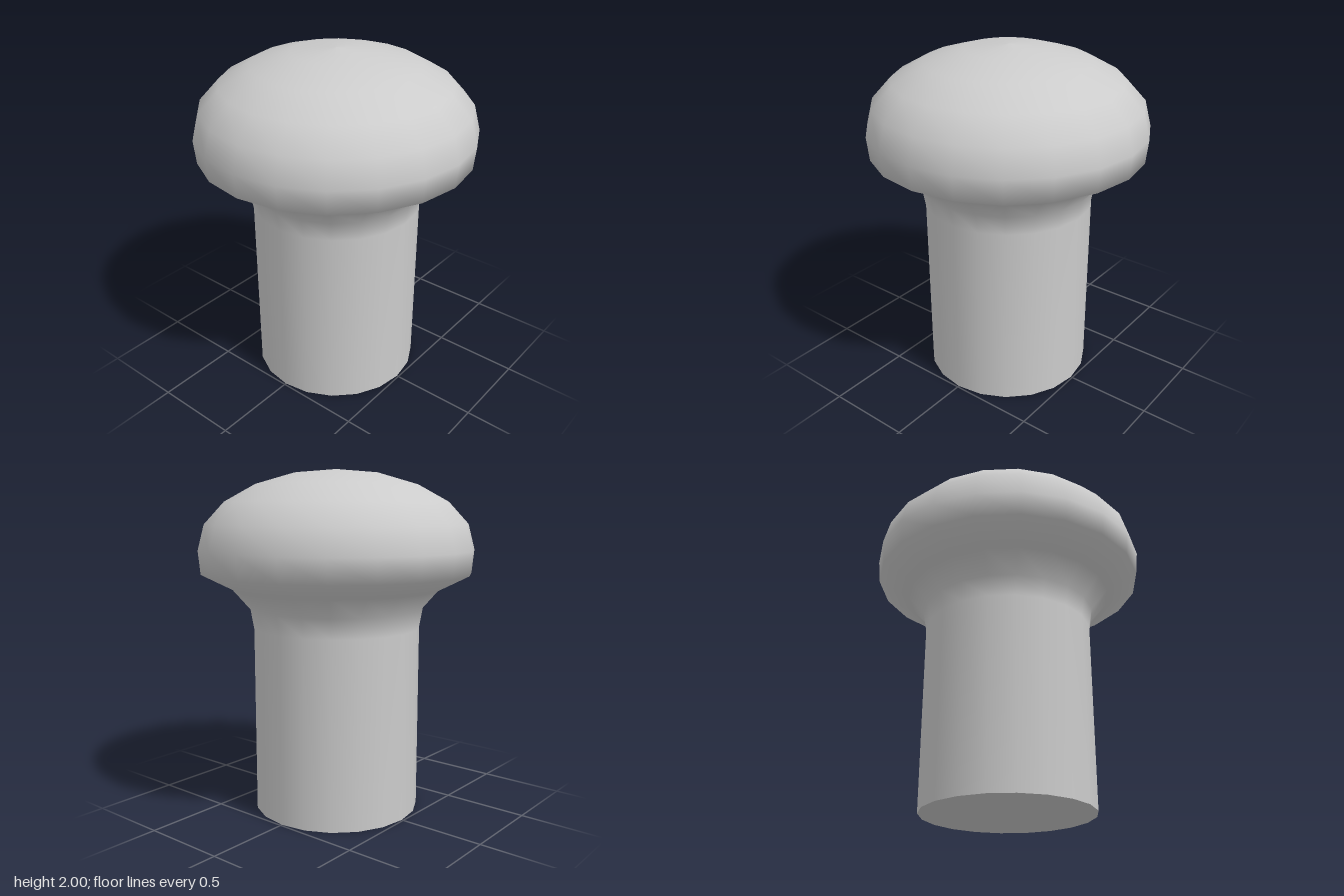
import * as THREE from 'three';

const SIDES = 20;
const STEM_RADIUS = 0.49;

export function createModel() {
  const group = new THREE.Group();
  group.name = 'knob';
  const material = new THREE.MeshStandardMaterial({ color: 0xcccccc });

  // Stem, flared neck and domed head turned as one smooth surface, bottom to top
  const profile = [
    [STEM_RADIUS, 0], [STEM_RADIUS, 1.09], [0.51, 1.205], [0.61, 1.32],
    [0.787, 1.41], [0.8, 1.545], [0.762, 1.69], [0.647, 1.815],
    [0.47, 1.913], [0.247, 1.978], [0, 2],
  ].map(([r, y]) => new THREE.Vector2(r, y));
  const body = new THREE.Mesh(new THREE.LatheGeometry(profile, SIDES), material);
  body.name = 'knobBody';
  group.add(body);

  // Flat disc closing the foot of the stem
  const base = new THREE.Mesh(new THREE.CircleGeometry(STEM_RADIUS, SIDES), material);
  base.name = 'stemBase';
  base.rotation.x = Math.PI / 2;
  group.add(base);

  return group;
}
